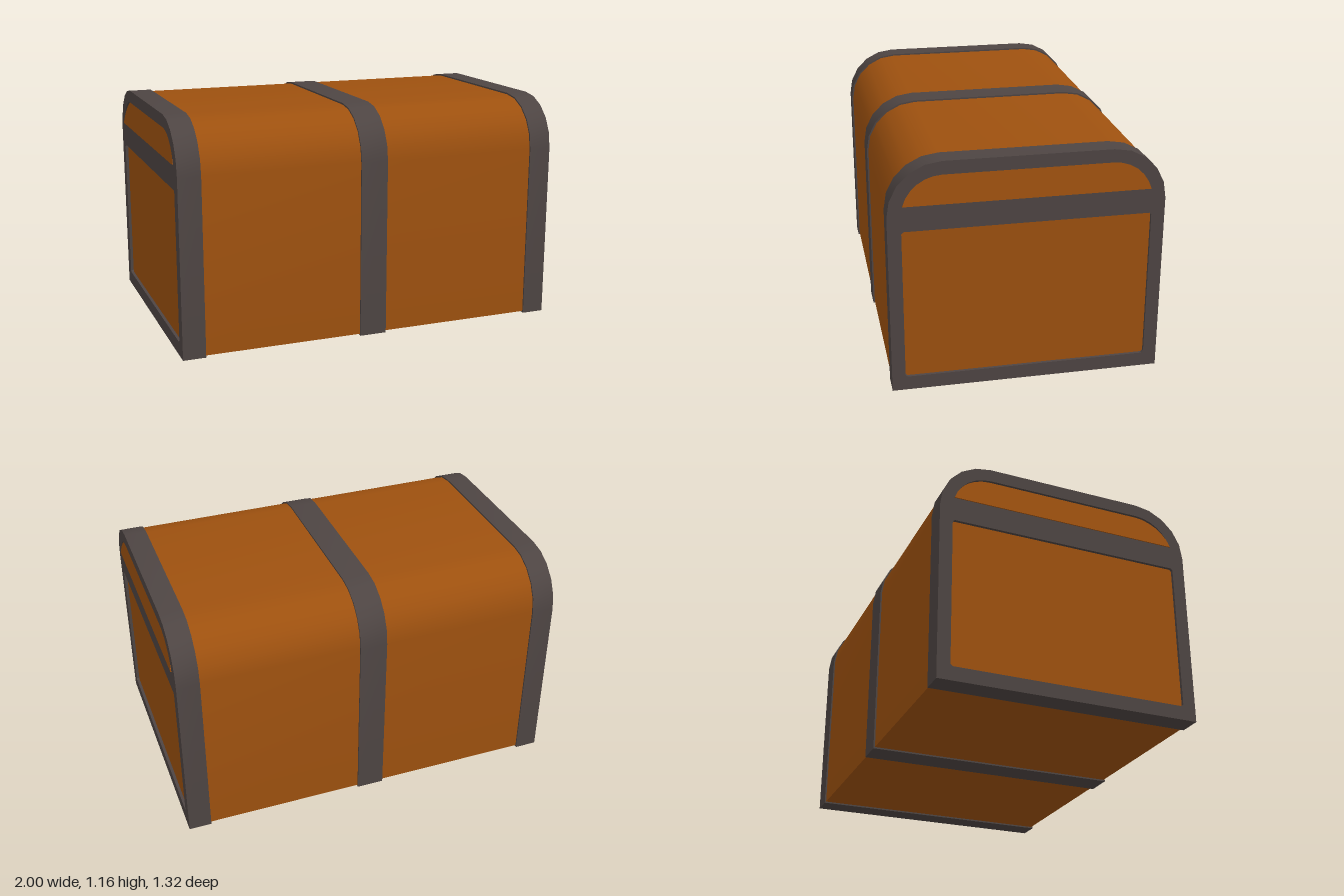
import * as THREE from 'three';
import { toCreasedNormals } from 'three/addons/utils/BufferGeometryUtils.js';

const ARC_Z = 0.4, ARC_Y = 0.9, RADIUS = 0.26, SEGMENTS = 5;

// Rounded lid outline, from the right end of the arc over to the left
function archPoints(radius, start, segments) {
  const pts = [];
  for (let i = 0; i <= segments; i++) {
    const a = start + (Math.PI / 2 - start) * i / segments;
    pts.push(new THREE.Vector2(ARC_Z + radius * Math.cos(a), ARC_Y + radius * Math.sin(a)));
  }
  const mirrored = pts.map(p => new THREE.Vector2(-p.x, p.y)).reverse();
  return [...pts, ...mirrored];
}

// Whole chest cross-section, shrunk evenly by inset
function chestProfile(inset) {
  const w = ARC_Z + RADIUS - inset;
  return [
    new THREE.Vector2(-w, inset), new THREE.Vector2(w, inset),
    ...archPoints(RADIUS - inset, 0, SEGMENTS),
  ];
}

// Extrude a cross-section along x between x0 and x1
function extrudeX(shape, x0, x1) {
  const g = new THREE.ExtrudeGeometry(shape, { depth: x1 - x0, bevelEnabled: false });
  g.rotateY(Math.PI / 2);
  g.translate(x0, 0, 0);
  return g;
}

export function createModel() {
  const wood = new THREE.MeshStandardMaterial({ color: 0x9e510f });
  wood.name = 'brown wood';
  const iron = new THREE.MeshStandardMaterial({ color: 0x4e4543 });
  iron.name = 'dark iron';

  const chest = new THREE.Group();
  chest.name = 'chest';
  const add = (parent, name, geometry, material) => {
    const mesh = new THREE.Mesh(toCreasedNormals(geometry, Math.PI / 6), material);
    mesh.name = name;
    parent.add(mesh);
  };

  // Wooden body and the central band around it
  add(chest, 'body', extrudeX(new THREE.Shape(chestProfile(0.008)), -0.98, 0.98), wood);
  add(chest, 'middleBand', extrudeX(new THREE.Shape(chestProfile(0)), -0.07, 0.07), iron);

  // Opening for the lower end panel, with clipped corners
  const w = 0.595, y0 = 0.07, y1 = 0.828, c = 0.01;
  const lowerHole = [
    [-w + c, y0], [w - c, y0], [w, y0 + c], [w, y1 - c],
    [w - c, y1], [-w + c, y1], [-w, y1 - c], [-w, y0 + c],
  ].map(([x, y]) => new THREE.Vector2(x, y));
  const lidOutline = archPoints(0.195, 0.27, 6);

  for (const [side, turn] of [['left', 0], ['right', Math.PI]]) {
    const end = new THREE.Group();
    end.name = side + 'End';
    end.rotation.y = turn;

    // End band and frame with two openings
    const frame = new THREE.Shape(chestProfile(0));
    frame.holes.push(new THREE.Path(lowerHole), new THREE.Path(lidOutline));
    add(end, side + 'EndFrame', extrudeX(frame, 0.88, 0.995), iron);

    // Lid panel leaning outward at its lower edge
    const panel = extrudeX(new THREE.Shape(lidOutline), 0.97, 0.98);
    const pos = panel.attributes.position;
    for (let i = 0; i < pos.count; i++) {
      if (pos.getX(i) > 0.975) {
        const t = (pos.getY(i) - 0.952) / 0.143;
        pos.setX(i, 1 - 0.018 * t);
      }
    }
    panel.computeVertexNormals();
    add(end, side + 'LidPanel', panel, wood);
    chest.add(end);
  }
  return chest;
}
